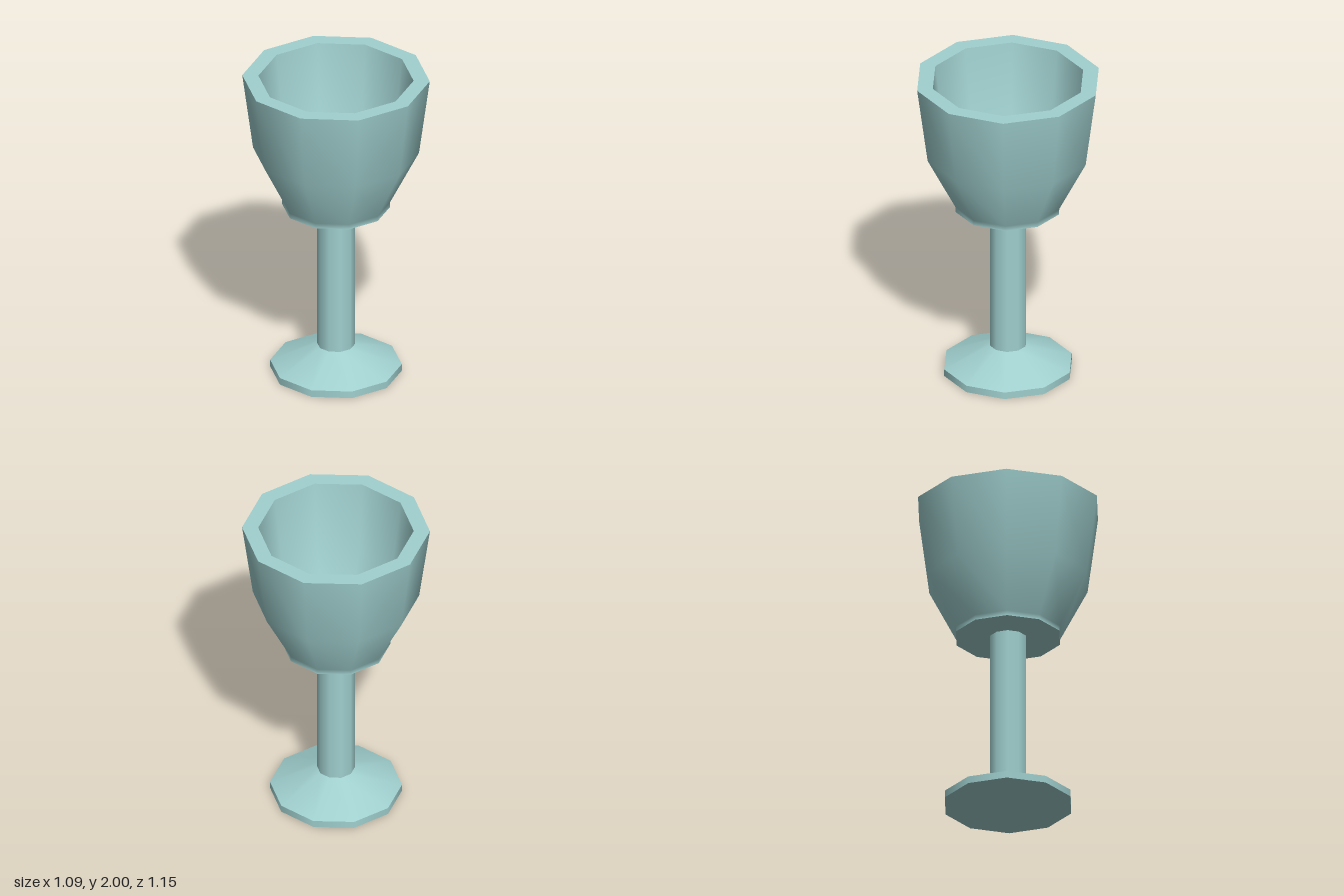
import * as THREE from 'three';
import { mergeGeometries } from 'three/addons/utils/BufferGeometryUtils.js';

const SIDES = 10;
const material = new THREE.MeshStandardMaterial({ color: 0xa0d0cf });

// Each section is a run of [radius, y] points that shades smoothly;
// edges between sections stay sharp.
function turnedPart(name, sections) {
  const parts = sections.map((points) =>
    new THREE.LatheGeometry(points.map(([r, y]) => new THREE.Vector2(r, y)), SIDES));
  const mesh = new THREE.Mesh(mergeGeometries(parts), material);
  mesh.name = name;
  return mesh;
}

export function createModel() {
  const group = new THREE.Group();
  group.name = 'goblet';

  // Foot: flat underside, short rim and sloping top
  group.add(turnedPart('foot', [
    [[0, 0], [0.403, 0]],
    [[0.403, 0], [0.403, 0.045]],
    [[0.403, 0.045], [0.115, 0.172]],
  ]));

  // Stem: plain straight column
  group.add(turnedPart('stem', [
    [[0.115, 0.172], [0.115, 1.127]],
  ]));

  // Bowl: underside, outer wall, rim, inner wall and floor
  group.add(turnedPart('bowl', [
    [[0.115, 1.127], [0.332, 1.127]],
    [[0.332, 1.127], [0.332, 1.16], [0.508, 1.505], [0.574, 2]],
    [[0.574, 2], [0.475, 2]],
    [[0.475, 2], [0.415, 1.52], [0.275, 1.2]],
    [[0.275, 1.2], [0, 1.2]],
  ]));

  return group;
}
